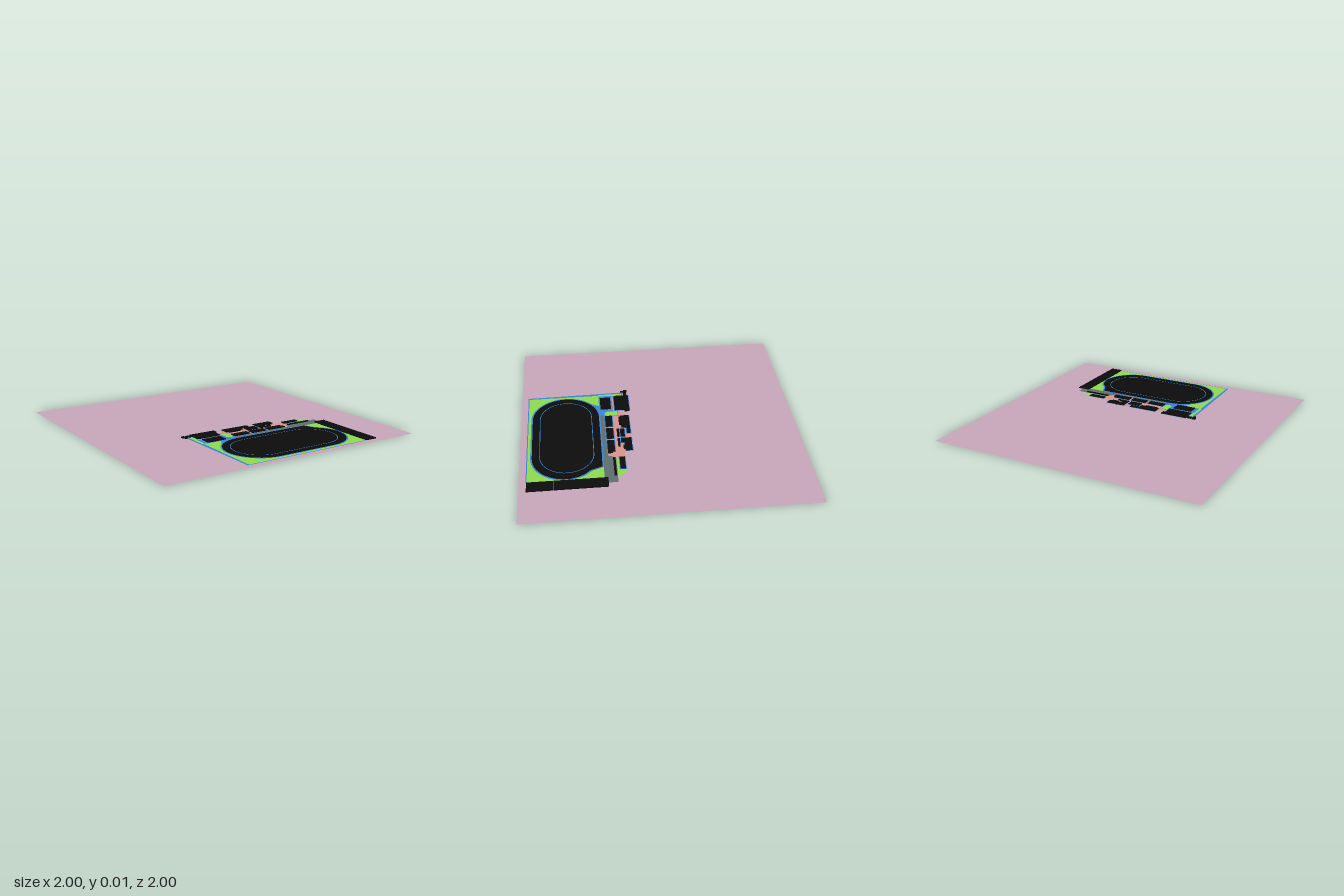
import * as THREE from 'three';

const COLORS = { pink: 0xcaa8bc, green: 0x8edc50, blue: 0x3a86dd, salmon: 0xdd9490, grey: 0x5f7070, black: 0x0c0c0c };
const STEP = 0.0006; // height between flat layers
const HEIGHT = 0.008; // building height
const materials = {};
for (const [key, color] of Object.entries(COLORS)) {
  materials[key] = new THREE.MeshStandardMaterial({ color, side: THREE.DoubleSide });
}

// Shape from [x, z] plan points
function plan(points) {
  return new THREE.Shape(points.map(([x, z]) => new THREE.Vector2(x, -z)));
}

function rect(x0, z0, x1, z1) {
  return plan([[x0, z0], [x0, z1], [x1, z1], [x1, z0]]);
}

// Stadium outline: two half circles joined by straights
function stadium(x0, x1, zc, r) {
  const pts = [];
  for (let i = 0; i <= 24; i++) {
    const a = Math.PI / 2 + (i / 24) * Math.PI;
    pts.push([x0 + r * Math.cos(a), zc + r * Math.sin(a)]);
  }
  for (let i = 0; i <= 24; i++) {
    const a = -Math.PI / 2 + (i / 24) * Math.PI;
    pts.push([x1 + r * Math.cos(a), zc + r * Math.sin(a)]);
  }
  return pts;
}

export function createModel() {
  const model = new THREE.Group();

  // Flat sheet lying on a numbered layer
  function sheet(name, color, layer, shape) {
    const geometry = new THREE.ShapeGeometry(shape, 12).rotateX(-Math.PI / 2);
    const mesh = new THREE.Mesh(geometry, materials[color]);
    mesh.name = name;
    mesh.position.y = layer * STEP;
    model.add(mesh);
  }

  // Base plane
  sheet('basePlane', 'pink', 0, rect(-1, -1, 1, 1));

  // Lawns with kerbs
  sheet('fieldKerb', 'blue', 1, rect(-0.38, 0.42, 0.612, 0.955));
  sheet('fieldLawn', 'green', 2, rect(-0.365, 0.425, 0.61, 0.948));
  sheet('westKerb', 'blue', 1, plan([[-0.392, 0.24], [-0.38, 0.95], [-0.35, 0.95], [-0.35, 0.24]]));
  sheet('westLawn', 'green', 2, rect(-0.375, 0.25, -0.345, 0.425));
  sheet('eastLawn', 'green', 1, plan([[0.4, 0.28], [0.565, 0.27], [0.565, 0.3], [0.595, 0.3], [0.595, 0.34], [0.4, 0.34]]));

  // Plazas and roads
  sheet('plaza', 'salmon', 1, plan([[-0.145, 0.275], [-0.08, 0.215], [0.33, 0.215], [0.33, 0.27],
    [0.4, 0.27], [0.4, 0.36], [0.36, 0.4], [-0.145, 0.4]]));
  sheet('westPath', 'salmon', 1, rect(-0.35, 0.3, -0.14, 0.325));
  sheet('blueCourt', 'blue', 3, plan([[-0.355, 0.325], [-0.145, 0.325], [-0.1, 0.39], [-0.1, 0.43],
    [-0.2, 0.45], [-0.28, 0.52], [-0.23, 0.425], [-0.355, 0.425]]));
  sheet('road', 'grey', 3, plan([[-0.105, 0.39], [0.37, 0.39], [0.4, 0.335], [0.66, 0.335],
    [0.66, 0.425], [-0.105, 0.425]]));

  // Rounded garden between the courts
  const garden = (r, top) => {
    const pts = [[-0.12 + r, top], [-0.12 - r, top]];
    for (let i = 0; i <= 12; i++) {
      const a = Math.PI - (i / 12) * Math.PI;
      pts.push([-0.12 + r * Math.cos(a), 0.36 + r * Math.sin(a)]);
    }
    return plan(pts);
  };
  sheet('gardenKerb', 'blue', 4, garden(0.034, 0.288));
  sheet('garden', 'green', 5, garden(0.028, 0.293));

  // Running track, its north-east corner cut away
  const trackOutline = (r, inset) => {
    const pts = stadium(-0.095, 0.355, 0.675, r)
      .filter(([x, z]) => !(x > 0.36 && z < 0.66));
    const cut = [[0.495, 0.425], [0.53, 0.51], [0.565, 0.545], [0.59, 0.59], [0.605, 0.64]];
    const at = pts.findIndex(([x, z]) => x > 0.35 && z < 0.5);
    pts.splice(at + 1, 0, ...cut.map(([x, z]) => [x - inset, z + inset]));
    return plan(pts);
  };
  sheet('trackKerb', 'blue', 4, trackOutline(0.254, 0));
  sheet('track', 'black', 5, trackOutline(0.243, 0.009));

  // Thin line round the infield
  const line = plan(stadium(-0.095, 0.345, 0.675, 0.191));
  line.holes.push(new THREE.Path(stadium(-0.095, 0.345, 0.675, 0.186).map(([x, z]) => new THREE.Vector2(x, -z))));
  sheet('infieldLine', 'blue', 6, line);

  // Buildings: x0, z0, x1, z1, kerb
  const buildings = {
    grandstand: [[0.61, 0.4, 0.7, 0.768, 0], [0.61, 0.772, 0.7, 0.95, 0]],
    northWestHall: [[-0.343, 0.2, -0.16, 0.31, 1], [-0.16, 0.2, -0.142, 0.237, 0]],
    gatehouse: [[-0.415, 0.205, -0.392, 0.23, 0], [-0.405, 0.23, -0.392, 0.255, 0], [-0.383, 0.21, -0.343, 0.235, 0]],
    courtHall: [[-0.325, 0.337, -0.18, 0.415, 0]],
    rowHouse: [[-0.088, 0.337, 0.04, 0.388, 1], [0.063, 0.337, 0.185, 0.388, 1], [0.207, 0.337, 0.335, 0.388, 1], [0.33, 0.355, 0.348, 0.388, 0]],
    northHall: [[-0.083, 0.213, 0.06, 0.275, 1], [-0.068, 0.275, 0.025, 0.29, 0], [0.067, 0.213, 0.13, 0.24, 1]],
    middleHall: [[0.077, 0.257, 0.168, 0.288, 1], [0.077, 0.295, 0.168, 0.312, 0], [0.188, 0.295, 0.28, 0.312, 0]],
    northEastHall: [[0.188, 0.213, 0.235, 0.288, 1], [0.235, 0.213, 0.26, 0.265, 0], [0.265, 0.213, 0.33, 0.262, 1], [0.27, 0.262, 0.31, 0.275, 0]],
    eastHall: [[0.4, 0.275, 0.525, 0.312, 1], [0.4, 0.34, 0.592, 0.357, 0]],
  };
  for (const [name, blocks] of Object.entries(buildings)) {
    const group = new THREE.Group();
    group.name = name;
    for (const [x0, z0, x1, z1, kerb] of blocks) {
      const block = new THREE.Mesh(new THREE.BoxGeometry(x1 - x0, HEIGHT, z1 - z0), materials.black);
      block.name = name + 'Block';
      block.position.set((x0 + x1) / 2, HEIGHT / 2, (z0 + z1) / 2);
      group.add(block);
      if (kerb) sheet(name + 'Kerb', 'blue', 4, rect(x0 - 0.006, z0 - 0.006, x1 + 0.006, z1 + 0.006));
    }
    model.add(group);
  }
  // Blue joint between the grandstand blocks
  sheet('grandstandJoint', 'blue', 5, rect(0.61, 0.765, 0.7, 0.775));

  return model;
}
